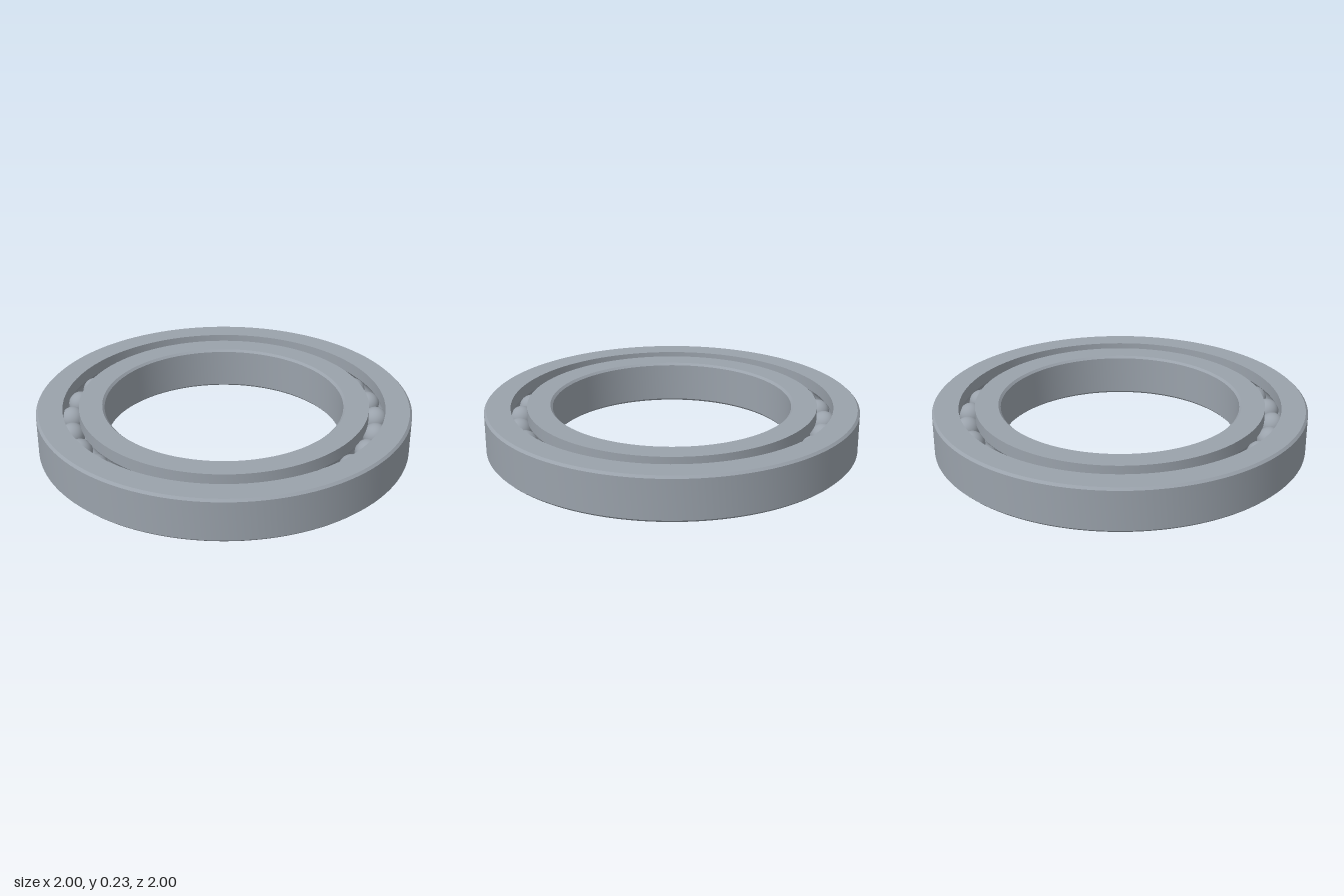
import * as THREE from 'three';
import { toCreasedNormals } from 'three/addons/utils/BufferGeometryUtils.js';

const H = 0.234;          // ring height
const MID = H / 2;
const CH = 0.012;         // chamfer
const PITCH = 0.818;      // radius of the ball circle
const BALL_R = 0.066;
const BALLS = 28;
const GROOVE_R = BALL_R + 0.001;

// Points of the raceway groove, meeting the land at radius landR
function groove(landR, start, end) {
  const steps = 12;
  const half = Math.acos(Math.abs(landR - PITCH) / GROOVE_R);
  const centre = landR > PITCH ? 0 : Math.PI;
  return Array.from({ length: steps + 1 }, (_, i) => {
    const a = centre + half * (start + ((end - start) * i) / steps);
    return [PITCH + GROOVE_R * Math.cos(a), MID + GROOVE_R * Math.sin(a)];
  });
}

// Revolve a closed counter-clockwise profile, keeping its corners sharp
function ring(name, profile, material) {
  const points = [...profile, profile[0]].map(([r, y]) => new THREE.Vector2(r, y));
  const geometry = toCreasedNormals(new THREE.LatheGeometry(points, 128), 0.45);
  const mesh = new THREE.Mesh(geometry, material);
  mesh.name = name;
  return mesh;
}

export function createModel() {
  const group = new THREE.Group();
  group.name = 'ballBearing';
  const steel = new THREE.MeshStandardMaterial({ color: 0x9aa2ab });
  steel.name = 'steel';

  // Outer ring: chamfered rim, groove on its inner side
  const outerLand = 0.861;
  group.add(ring('outerRing', [
    [outerLand, 0], [1 - CH, 0], [1, CH], [1, H - CH], [1 - CH, H], [outerLand, H],
    ...groove(outerLand, 1, -1),
  ], steel));

  // Inner ring: chamfered bore, groove on its outer side
  const innerLand = 0.775, bore = 0.639;
  group.add(ring('innerRing', [
    [bore + CH, 0], [innerLand, 0],
    ...groove(innerLand, 1, -1),
    [innerLand, H], [bore + CH, H], [bore, H - CH], [bore, CH],
  ], steel));

  // Balls spaced evenly between the rings
  const balls = new THREE.Group();
  balls.name = 'balls';
  const ballGeometry = new THREE.SphereGeometry(BALL_R, 32, 20);
  for (let i = 0; i < BALLS; i++) {
    const a = 0.0164 + (i / BALLS) * Math.PI * 2;
    const ball = new THREE.Mesh(ballGeometry, steel);
    ball.name = 'ball';
    ball.position.set(PITCH * Math.cos(a), MID, -PITCH * Math.sin(a));
    balls.add(ball);
  }
  group.add(balls);
  return group;
}
